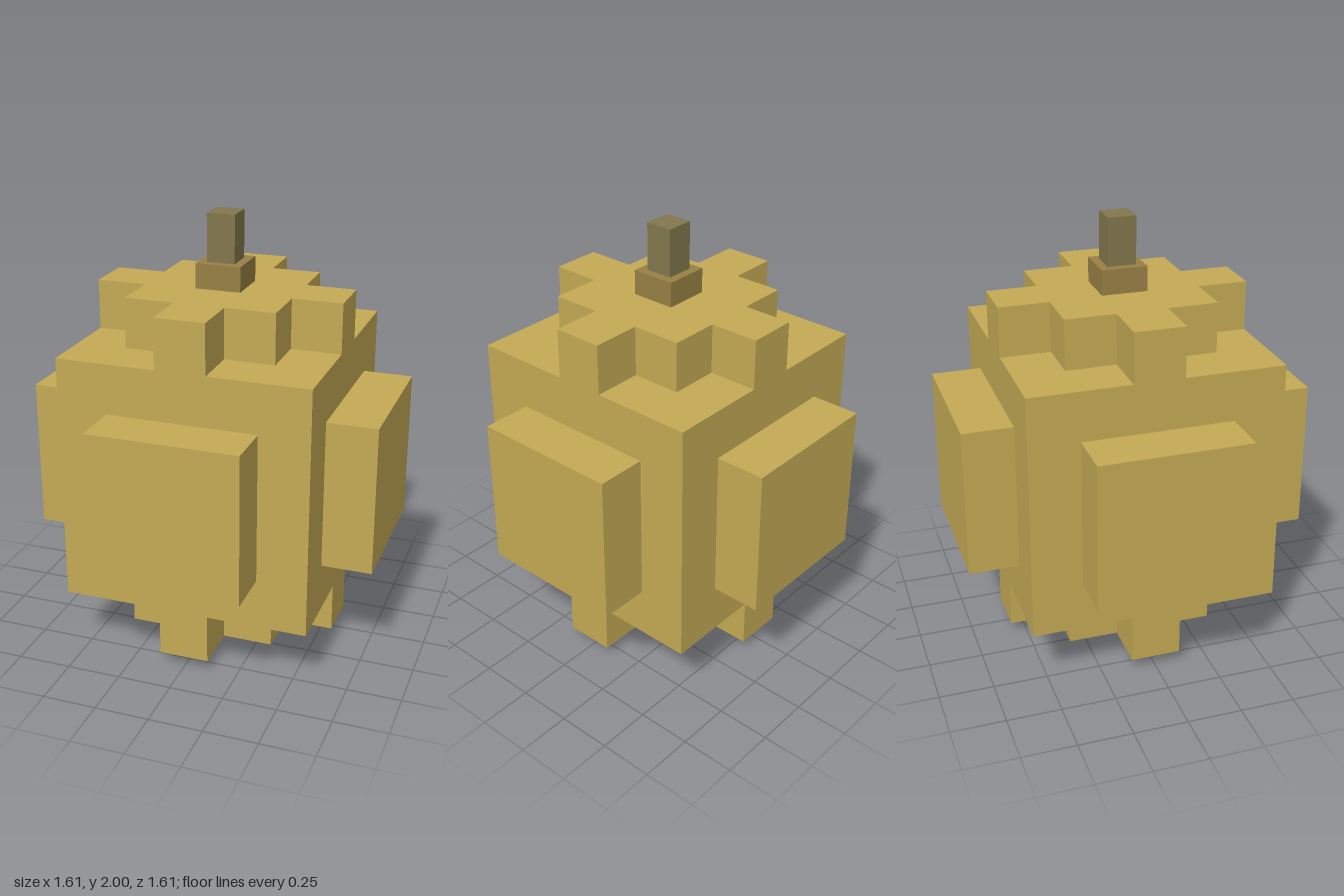
import * as THREE from 'three';

const gold = new THREE.MeshStandardMaterial({ name: 'gold', color: 0xc4aa54 });
const bronze = new THREE.MeshStandardMaterial({ name: 'bronze', color: 0x988044 });
const wickGrey = new THREE.MeshStandardMaterial({ name: 'wickGrey', color: 0x82774d });

const U = 0.23; // block module
const MID = 0.86; // height of the body centre

export function createModel() {
  const model = new THREE.Group();
  model.name = 'blockOrnament';

  const add = (name, geometry, material, x, y, z) => {
    const mesh = new THREE.Mesh(geometry, material);
    mesh.name = name;
    mesh.position.set(x, y, z);
    model.add(mesh);
    return mesh;
  };
  const box = (name, material, width, y0, y1) =>
    add(name, new THREE.BoxGeometry(width, y1 - y0, width), material, 0, (y0 + y1) / 2, 0);

  // Cubic body
  box('body', gold, 5 * U, MID - 2.5 * U, MID + 2.5 * U);

  // Raised panel on each of the four sides
  const panel = new THREE.BoxGeometry(3 * U, 3 * U, U);
  ['front', 'left', 'back', 'right'].forEach((side, i) => {
    const a = (i * Math.PI) / 2;
    const mesh = add(side + 'Panel', panel, gold, Math.sin(a) * 3 * U, MID, Math.cos(a) * 3 * U);
    mesh.rotation.y = a;
  });

  // Stepped cross plates: a square with a narrow arm on each side
  const corner = [[2.5, -0.5], [2.5, 0.5], [1.5, 0.5], [1.5, 1.5], [0.5, 1.5]];
  const outline = [];
  for (let i = 0; i < 4; i++) {
    for (const [x, y] of corner) {
      outline.push(new THREE.Vector2(x * U, y * U).rotateAround(new THREE.Vector2(), (i * Math.PI) / 2));
    }
  }
  const cross = new THREE.ExtrudeGeometry(new THREE.Shape(outline), { depth: U, bevelEnabled: false });
  cross.rotateX(-Math.PI / 2);
  add('topCross', cross, gold, 0, MID + 2.5 * U, 0);
  add('bottomCross', cross, gold, 0, MID - 3.5 * U, 0);

  // Foot, cap and wick
  box('foot', gold, U, 0, MID - 3.5 * U);
  box('cap', bronze, 0.21, MID + 3.5 * U, 1.78);
  box('wick', wickGrey, 0.13, 1.78, 2);

  return model;
}
